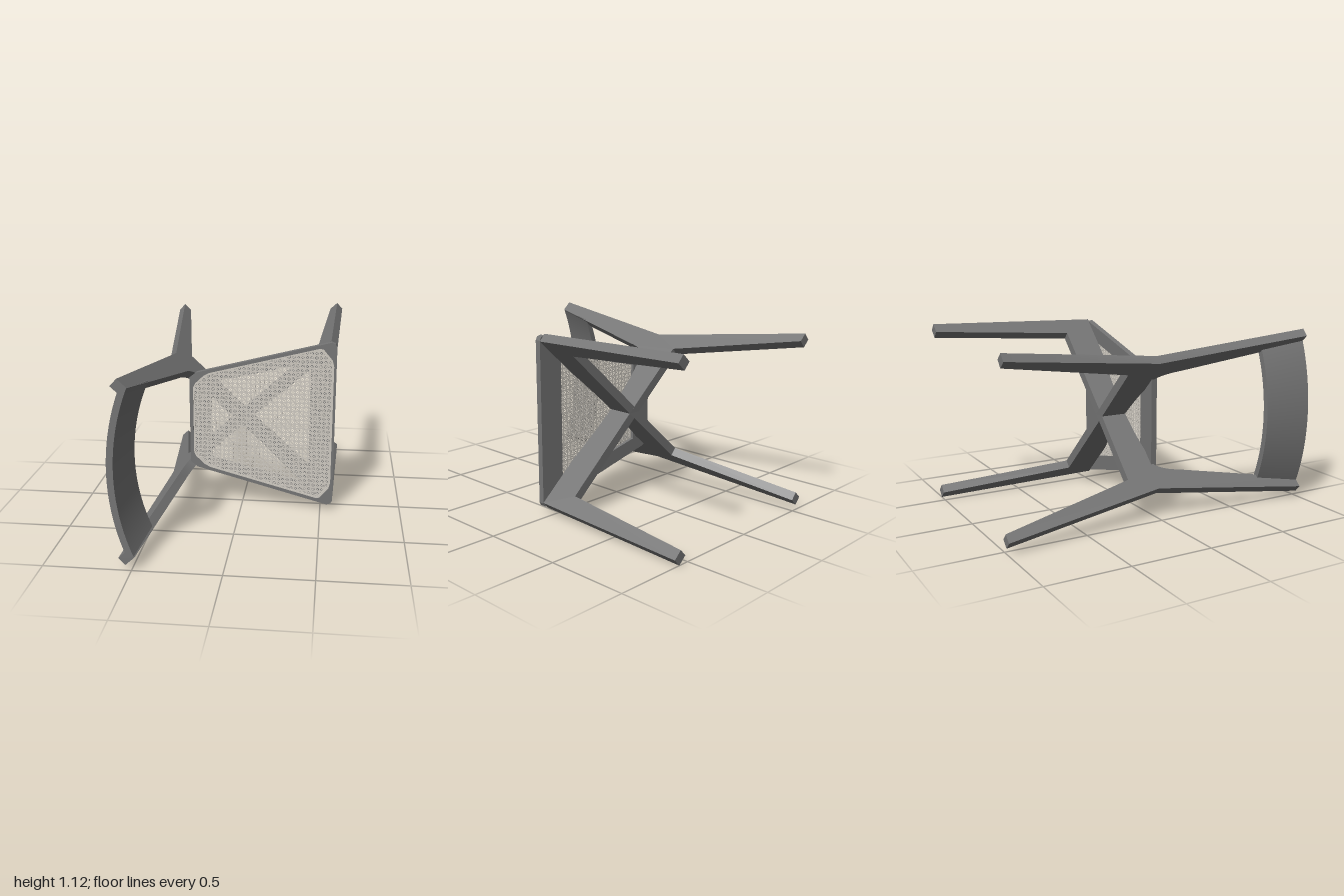
import * as THREE from 'three';
import { mergeGeometries, toCreasedNormals } from 'three/addons/utils/BufferGeometryUtils.js';

const frameMat = new THREE.MeshStandardMaterial({ color: 0x757575 });
const caneMat = new THREE.MeshStandardMaterial({ color: 0xd0cbc2 });

const CENTRE_Y = 0.557;      // height of the mirror plane of the chair
const DIAGONAL = 0.742;      // angle of each crossing frame, radians
const SEAT_TILT = 0.028;     // rise of the seat toward its front edge
const SEAT_BOTTOM = 0.038;

// Mirrors a half outline (x, y >= 0) across y = 0 into a closed loop
function mirrored(half) {
  const pts = half.map(([x, y]) => new THREE.Vector2(x, y));
  const other = half.map(([x, y]) => new THREE.Vector2(x, -y)).reverse();
  return pts.concat(other);
}

const extrude = (shape, depth) => new THREE.ExtrudeGeometry(shape, { depth, bevelEnabled: false, curveSegments: 28 });

function addMesh(parent, name, geometry, material) {
  const mesh = new THREE.Mesh(geometry, material);
  mesh.name = name;
  parent.add(mesh);
  return mesh;
}

// Leans a flat seat layer and lifts it to its level
function tilt(geometry, level) {
  const shear = new THREE.Matrix4().set(
    1, 0, 0, 0,
    0, 1, 0, 0,
    SEAT_TILT, 0, 1, SEAT_BOTTOM + level,
    0, 0, 0, 1);
  geometry.applyMatrix4(shear);
  geometry.computeVertexNormals();
  return geometry;
}

function ring(outer, inner, depth, level) {
  const shape = new THREE.Shape(outer);
  shape.holes.push(new THREE.Path(inner));
  return tilt(extrude(shape, depth), level);
}

// Flat board: front leg, diagonal rail, rear leg and back post in one piece
function crossFrame(angle) {
  const thick = 0.055;
  const s = new THREE.Shape();
  s.moveTo(0.731, -1);
  s.lineTo(0.795, -1);
  s.lineTo(0.756, 0.055);
  s.lineTo(0.42, 0.046);
  s.quadraticCurveTo(0.2, 0.012, 0, 0.01);
  s.quadraticCurveTo(-0.2, 0.012, -0.31, 0.032);
  s.lineTo(-0.395, 0.034);
  s.quadraticCurveTo(-0.455, 0.055, -0.482, 0.2);
  s.lineTo(-0.677, 1);
  s.lineTo(-0.748, 1);
  s.lineTo(-0.585, 0.01);
  s.lineTo(-0.748, -1);
  s.lineTo(-0.69, -1);
  s.lineTo(-0.493, -0.165);
  s.lineTo(0, -0.152);
  s.lineTo(0.649, -0.14);
  const geo = toCreasedNormals(extrude(s, thick).translate(0, 0, -thick / 2), 0.4);
  const along = new THREE.Vector3(Math.cos(angle), Math.sin(angle), 0);
  const up = new THREE.Vector3(0, 0, 1);
  const across = new THREE.Vector3().crossVectors(along, up);
  return geo.applyMatrix4(new THREE.Matrix4().makeBasis(along, up, across));
}

// Curved back panel that leans back and narrows toward the seat
function backPanel() {
  const R = 1.286, t = 0.037, cx = -0.575 + R, height = 0.28;
  const half = Math.asin(0.478 / R);
  const s = new THREE.Shape();
  s.absarc(cx, 0, R, Math.PI - half, Math.PI + half, false);
  s.absarc(cx, 0, R + t, Math.PI + half, Math.PI - half, true);
  const geo = extrude(s, height);
  const p = geo.attributes.position;
  for (let i = 0; i < p.count; i++) {
    const drop = height - p.getZ(i);
    p.setXYZ(i, p.getX(i) + 0.18 * drop, p.getY(i) * (1 - 0.3 * drop), 1 - drop);
  }
  return toCreasedNormals(geo, 0.4);
}

// Part of the line (point p, direction d) that lies inside a convex outline
function clipLine(p, d, outline) {
  const hits = [];
  outline.forEach((a, i) => {
    const e = outline[(i + 1) % outline.length].clone().sub(a);
    const den = d.cross(e);
    if (Math.abs(den) < 1e-9) return;
    const ap = a.clone().sub(p);
    const u = ap.cross(d) / den;
    if (u >= 0 && u <= 1) hits.push(ap.cross(e) / den);
  });
  return hits.length > 1 ? [Math.min(...hits), Math.max(...hits)] : null;
}

// Woven cane: straight strands both ways plus both diagonals through the crossings
function caneWeave(outline) {
  const pitch = 0.0275, strands = [];
  const layers = [
    { angle: 0, step: pitch, width: 0.009 },
    { angle: Math.PI / 2, step: pitch, width: 0.009 },
    { angle: Math.PI / 4, step: pitch * Math.SQRT1_2, width: 0.0045 },
    { angle: -Math.PI / 4, step: pitch * Math.SQRT1_2, width: 0.0045 },
  ];
  layers.forEach(({ angle, step, width }, layer) => {
    const d = new THREE.Vector2(Math.cos(angle), Math.sin(angle));
    const n = new THREE.Vector2(-d.y, d.x);
    for (let k = -50; k <= 50; k++) {
      const p = n.clone().multiplyScalar(k * step);
      const span = clipLine(p, d, outline);
      if (!span || span[1] - span[0] < 0.005) continue;
      const mid = p.clone().addScaledVector(d, (span[0] + span[1]) / 2);
      strands.push(new THREE.BoxGeometry(span[1] - span[0], width, 0.003)
        .rotateZ(angle)
        .translate(mid.x, mid.y, layer * 0.0008));
    }
  });
  return tilt(mergeGeometries(strands), 0.027);
}

export function createModel() {
  const model = new THREE.Group();
  model.name = 'chair';
  const chair = new THREE.Group();
  chair.name = 'chairBody';
  chair.position.y = CENTRE_Y;
  model.add(chair);

  // Crossing leg frames
  addMesh(chair, 'leftCrossFrame', crossFrame(DIAGONAL), frameMat);
  addMesh(chair, 'rightCrossFrame', crossFrame(-DIAGONAL), frameMat);

  // Back panel
  addMesh(chair, 'backPanel', backPanel(), frameMat);

  // Seat: rim, wide under frame, cane and its border cord
  const seat = new THREE.Group();
  seat.name = 'seat';
  chair.add(seat);
  const outer = mirrored([[0.575, 0.495], [0.565, 0.515], [0.54, 0.523], [-0.28, 0.31], [-0.325, 0.275]]);
  const caneEdge = mirrored([[0.56, 0.375], [0.55, 0.415], [0.495, 0.48], [0.475, 0.485],
    [-0.2, 0.31], [-0.235, 0.292], [-0.29, 0.24], [-0.303, 0.212]]);
  const cordInner = caneEdge.map((p) => new THREE.Vector2(0.13 + (p.x - 0.13) * 0.978, p.y * 0.978));
  const opening = mirrored([[0.42, 0.395], [-0.19, 0.245]]);
  addMesh(seat, 'seatRim', ring(outer, caneEdge, 0.036, 0), frameMat);
  addMesh(seat, 'seatUnderFrame', ring(caneEdge, opening, 0.02, 0), frameMat);
  addMesh(seat, 'caneBorder', ring(caneEdge, cordInner, 0.012, 0.021), caneMat);
  addMesh(seat, 'caneWeave', caneWeave(caneEdge), caneMat);

  return model;
}
